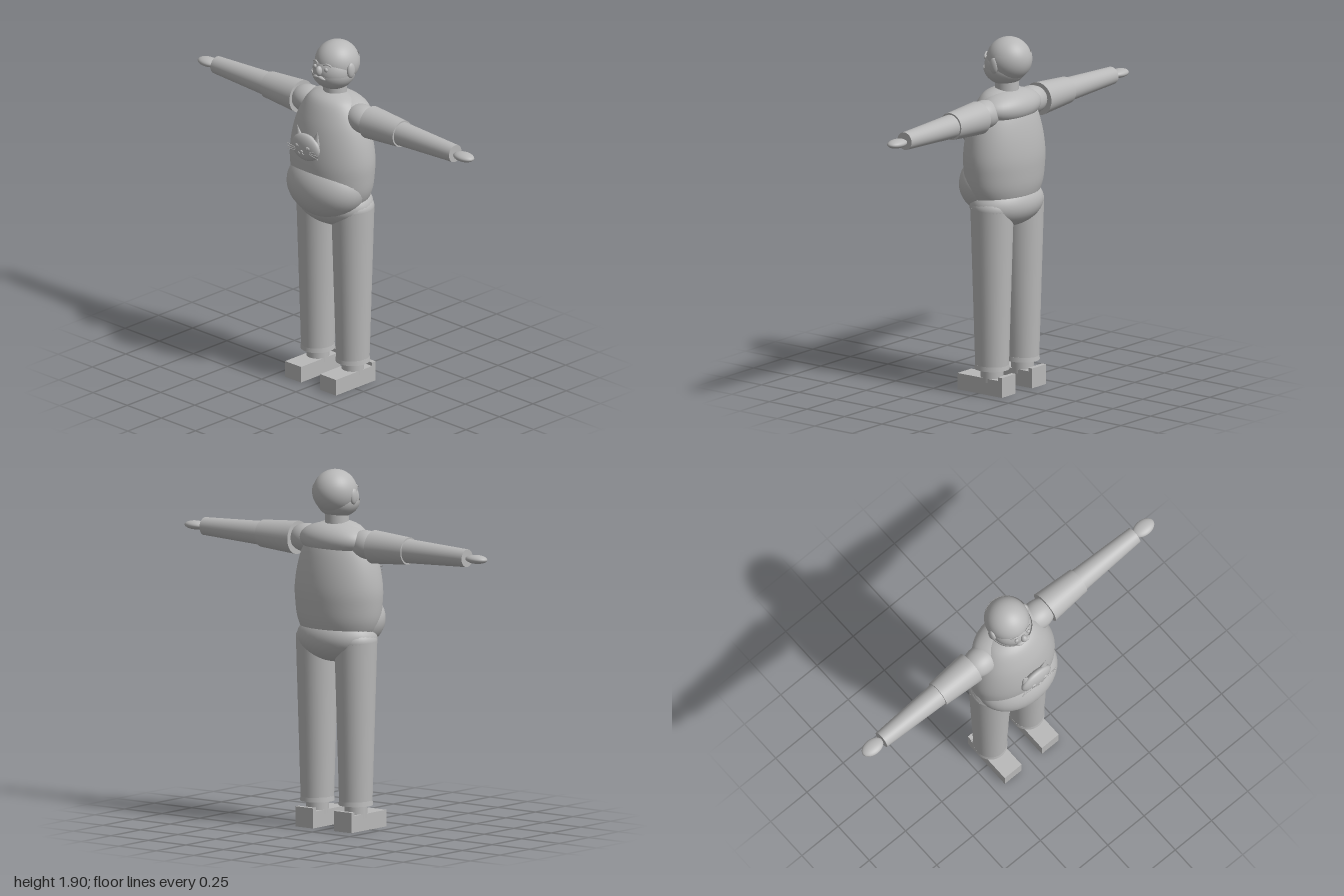
import * as THREE from 'three';

export function createModel() {
  const model = new THREE.Group();
  model.name = 'standingMan';
  const clay = new THREE.MeshStandardMaterial({ color: 0xb8b8b8, side: THREE.DoubleSide });
  clay.name = 'grey clay';

  const add = (name, geo, pos = [0, 0, 0], scale = [1, 1, 1], rot = [0, 0, 0], parent = model) => {
    const m = new THREE.Mesh(geo, clay);
    m.name = name;
    m.position.set(...pos);
    m.scale.set(...scale);
    m.rotation.set(...rot);
    parent.add(m);
    return m;
  };
  const ball = new THREE.SphereGeometry(1, 36, 24);
  const smallBall = new THREE.SphereGeometry(1, 14, 10);
  const profile = (pts) => new THREE.LatheGeometry(
    new THREE.SplineCurve(pts.map((p) => new THREE.Vector2(...p))).getPoints(40), 48);
  const strand = (pts, r) => new THREE.TubeGeometry(
    new THREE.CatmullRomCurve3(pts.map((p) => new THREE.Vector3(...p))), 10, r, 6);

  // Torso, belly and hips
  add('torso', profile([[0.01, 1.0], [0.18, 1.02], [0.235, 1.09], [0.253, 1.2], [0.254, 1.29],
    [0.235, 1.4], [0.2, 1.5], [0.14, 1.59], [0.06, 1.625], [0.005, 1.63]]), [0, 0, -0.025], [1, 1, 0.73]);
  add('belly', ball, [0, 1.11, 0.02], [0.238, 0.175, 0.176]);
  add('hips', ball, [0, 1.01, -0.04], [0.235, 0.13, 0.165]);
  add('upperBack', ball, [0, 1.53, -0.065], [0.21, 0.09, 0.122]);
  add('neck', new THREE.CylinderGeometry(0.062, 0.064, 0.14, 32), [0, 1.62, -0.043]);

  // Head
  const head = new THREE.Group();
  head.name = 'head';
  model.add(head);
  const h = (name, geo, pos, scale, rot) => add(name, geo, pos, scale, rot, head);
  h('cranium', ball, [0, 1.782, -0.058], [0.115, 0.116, 0.12]);
  h('face', ball, [0, 1.745, -0.032], [0.112, 0.102, 0.108]);
  h('beard', new THREE.SphereGeometry(1, 36, 12, 0, Math.PI * 2, Math.PI / 2, Math.PI / 2),
    [0, 1.735, -0.032], [0.117, 0.095, 0.114]);
  h('backHair', new THREE.SphereGeometry(1, 30, 12, Math.PI, Math.PI, 1.25, 1.2),
    [0, 1.782, -0.055], [0.12, 0.12, 0.126]);
  h('nose', ball, [0, 1.763, 0.078], [0.018, 0.027, 0.02]);
  for (const s of [1, -1]) {
    h('ear', ball, [s * 0.114, 1.762, -0.045], [0.015, 0.042, 0.026]);
    h('eye', smallBall, [s * 0.04, 1.776, 0.066], [0.012, 0.012, 0.009]);
    h('eyebrow', strand([[s * 0.02, 1.798, 0.064], [s * 0.042, 1.806, 0.06], [s * 0.066, 1.796, 0.05]], 0.005));
    h('moustache', smallBall, [s * 0.02, 1.727, 0.077], [0.025, 0.01, 0.012], [0, s * 0.2, -s * 0.2]);
  }

  for (const s of [1, -1]) {
    // Arms held straight out
    const arm = new THREE.Group();
    arm.name = s > 0 ? 'leftArm' : 'rightArm';
    arm.position.set(0, 1.51, -0.05);
    model.add(arm);
    const limb = (name, x0, x1, r0, r1) => add(name, new THREE.CylinderGeometry(r1, r0, x1 - x0, 36),
      [s * (x0 + x1) / 2, 0, 0], [1, 1, 1], [0, 0, -s * Math.PI / 2], arm);
    add('shoulder', ball, [s * 0.195, 0.005, 0.005], [0.105, 0.076, 0.08], [0, 0, 0], arm);
    limb('sleeve', 0.255, 0.485, 0.088, 0.072);
    limb('forearm', 0.45, 0.873, 0.065, 0.047);
    add('hand', ball, [s * 0.935, 0, 0], [0.065, 0.023, 0.043], [0, 0, 0], arm);

    // Legs and shoes
    const leg = new THREE.Group();
    leg.name = s > 0 ? 'leftLeg' : 'rightLeg';
    leg.position.set(s * 0.128, 0, -0.045);
    model.add(leg);
    const l = (name, geo, pos, scale) => add(name, geo, pos, scale, [0, 0, 0], leg);
    l('thighTop', ball, [0, 1.0, 0], [0.111, 0.078, 0.116]);
    l('trouserLeg', new THREE.CylinderGeometry(0.111, 0.086, 0.86, 40), [0, 0.57, 0], [1, 1, 1.04]);
    l('cuff', new THREE.CylinderGeometry(0.087, 0.09, 0.025, 40), [0, 0.145, 0], [1, 1, 1.03]);
    l('ankle', new THREE.CylinderGeometry(0.06, 0.06, 0.08, 28), [0, 0.105, 0]);
    l('shoe', new THREE.BoxGeometry(0.116, 0.088, 0.296), [0, 0.044, 0.037]);
    l('heelTab', new THREE.BoxGeometry(0.116, 0.03, 0.026), [0, 0.092, -0.098]);
  }

  // Cat face on the chest
  const cat = new THREE.Group();
  cat.name = 'catFace';
  cat.position.set(0, 1.362, 0.175);
  model.add(cat);
  const c = (name, geo, pos, scale, rot) => add(name, geo, pos, scale, rot, cat);
  c('catHead', ball, [0, 0, 0], [0.098, 0.074, 0.032]);
  c('catNose', smallBall, [0, -0.014, 0.032], [0.009, 0.006, 0.006]);
  for (const s of [1, -1]) {
    c('catEar', new THREE.ConeGeometry(0.028, 0.075, 20), [s * 0.067, 0.068, -0.012], [1, 1, 0.5], [0, 0, -s * 0.22]);
    c('catEye', smallBall, [s * 0.038, 0.008, 0.027], [0.015, 0.012, 0.007]);
    c('catPupil', smallBall, [s * 0.038, 0.008, 0.033], [0.004, 0.009, 0.003]);
    c('catMouth', strand([[0, -0.02, 0.032], [s * 0.012, -0.032, 0.03], [s * 0.026, -0.026, 0.03]], 0.0025));
    for (const k of [-1, 0, 1]) {
      c('whisker', strand([[s * 0.05, -0.015 + k * 0.007, 0.026], [s * 0.082, -0.015 + k * 0.012, 0.027],
        [s * 0.113, -0.016 + k * 0.018, 0.025]], 0.002));
    }
  }
  return model;
}
